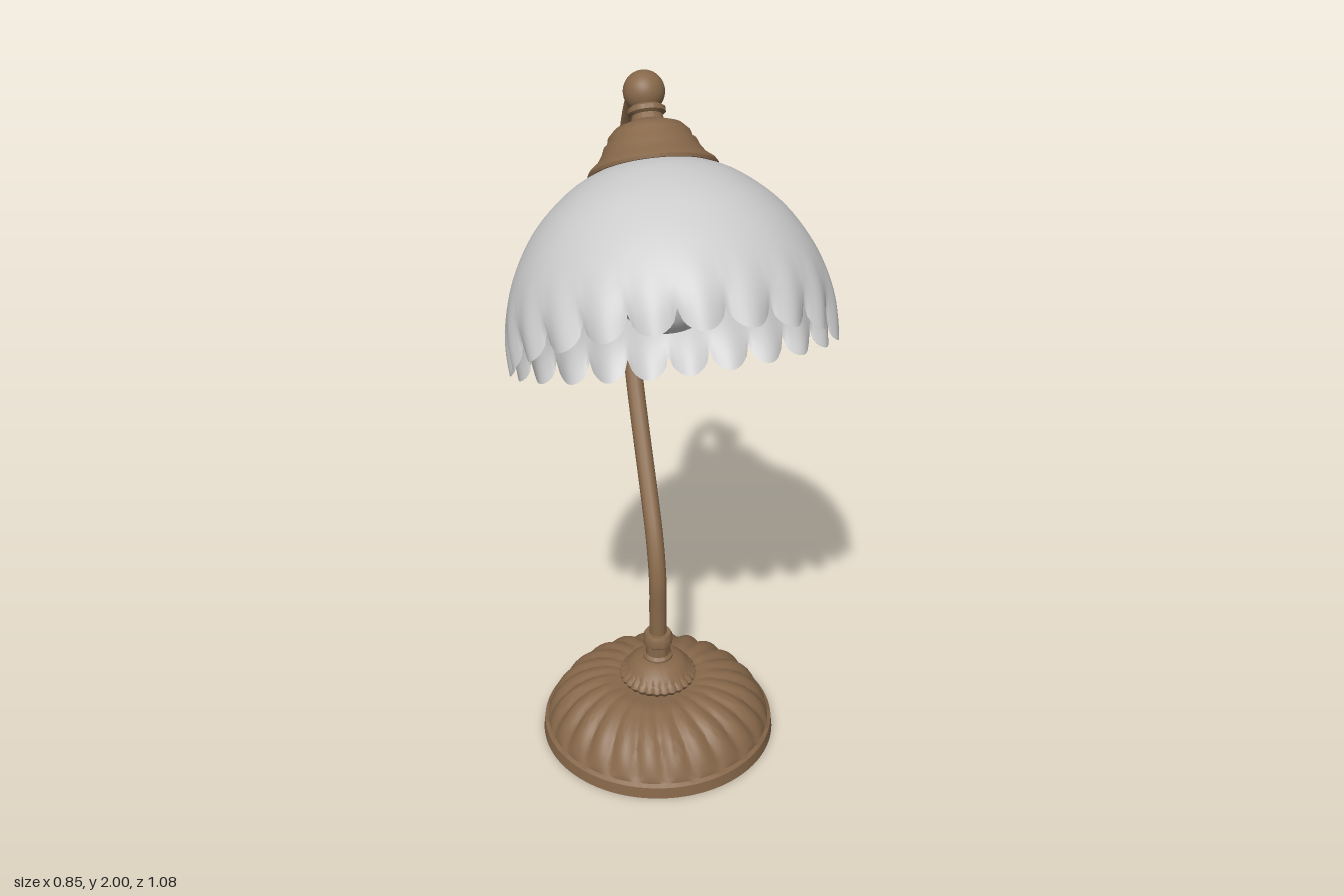
import * as THREE from 'three';
import { mergeVertices, toCreasedNormals } from 'three/addons/utils/BufferGeometryUtils.js';

const V = (x, y, z) => new THREE.Vector3(x, y, z);

// Revolve [radius, height] pairs; optional rule moves each vertex
function revolve(profile, segments, rule, crease = 0.7) {
  let geo = new THREE.LatheGeometry(profile.map(([r, y]) => new THREE.Vector2(r, y)), segments);
  geo.deleteAttribute('uv');
  geo.deleteAttribute('normal');
  geo = mergeVertices(geo, 1e-5);
  if (rule) {
    const p = geo.attributes.position;
    for (let i = 0; i < p.count; i++) {
      const x = p.getX(i), z = p.getZ(i);
      const [r, y] = rule(Math.hypot(x, z), p.getY(i), Math.atan2(x, z));
      const a = Math.atan2(x, z);
      p.setXYZ(i, r * Math.sin(a), y, r * Math.cos(a));
    }
  }
  geo.computeVertexNormals();
  return crease ? toCreasedNormals(geo, crease) : geo;
}

// Smooth profile through a few points
function smooth(points, n) {
  const c = new THREE.SplineCurve(points.map(([r, y]) => new THREE.Vector2(r, y)));
  return c.getPoints(n).map(p => [p.x, p.y]);
}

export function createModel() {
  const bronze = new THREE.MeshStandardMaterial({ color: 0x87684a });
  bronze.name = 'bronze';
  const glass = new THREE.MeshStandardMaterial({ color: 0xcccccc, side: THREE.DoubleSide });
  glass.name = 'frosted glass';

  const model = new THREE.Group();
  model.name = 'tableLamp';
  const add = (parent, name, geo, mat) => {
    const mesh = new THREE.Mesh(geo, mat);
    mesh.name = name;
    parent.add(mesh);
    return mesh;
  };

  // Tube in the x = 0 plane through [z, y] points
  const rod = (parent, name, pts, radius, segs) => add(parent, name, new THREE.TubeGeometry(
    new THREE.CatmullRomCurve3(pts.map(([z, y]) => V(0, y, z))), segs, radius, 12), bronze);

  // Foot: plain rim, swirled flutes, flat top
  const foot = new THREE.Group();
  foot.name = 'foot';
  foot.position.z = -0.025;
  model.add(foot);
  add(foot, 'flutedBase', revolve([
    [0, 0], [0.35, 0], [0.346, 0.035], [0.335, 0.042],
    ...smooth([[0.333, 0.05], [0.31, 0.092], [0.27, 0.135], [0.22, 0.163], [0.165, 0.178]], 12),
    [0.14, 0.178], [0.11, 0.172], [0, 0.172],
  ], 192, (r, y, a) => {
    if (y < 0.045 || r < 0.13) return [r, y];
    const k = Math.sin(Math.PI * Math.min(1, (y - 0.045) / 0.15)) ** 0.6;
    const d = k * 0.012 * (Math.abs(Math.cos(12 * (a + (0.33 - r) * 0.7))) - 0.7);
    return [r + d, y + d * 0.6];
  }), bronze);

  // Beaded collar and the stem socket
  add(foot, 'beadedCollar', revolve([
    [0, 0.17], [0.09, 0.172], [0.108, 0.182], [0.115, 0.195], [0.108, 0.207],
    [0.1, 0.212], [0.09, 0.23], [0.07, 0.247], [0.045, 0.255], [0, 0.257],
  ], 168, (r, y, a) => [r > 0.1 ? r + 0.006 * (Math.abs(Math.cos(14 * a)) - 0.7) : r, y]), bronze);
  add(foot, 'stemSocket', revolve([
    [0, 0.25], [0.044, 0.25], [0.044, 0.262], [0.036, 0.27], [0.036, 0.3],
    [0.043, 0.307], [0.044, 0.33], [0.038, 0.342], [0, 0.342],
  ], 32), bronze);

  // Curved stem rising behind the shade to the ball joint
  rod(model, 'stem', [
    [-0.025, 0.3], [-0.025, 0.42], [-0.028, 0.53], [-0.075, 0.645], [-0.16, 0.755], [-0.26, 0.87],
    [-0.355, 0.985], [-0.43, 1.1], [-0.485, 1.24], [-0.508, 1.42], [-0.487, 1.61],
    [-0.42, 1.78], [-0.33, 1.885], [-0.26, 1.925], [-0.205, 1.945],
  ], 0.026, 100);

  // Vine ornament: flower stalk, scroll and flower
  const vine = new THREE.Group();
  vine.name = 'vineOrnament';
  model.add(vine);
  rod(vine, 'flowerStalk', [[-0.405, 1.09], [-0.44, 1.22], [-0.455, 1.34], [-0.44, 1.45], [-0.4, 1.54]], 0.015, 32);
  rod(vine, 'scroll', [
    [-0.405, 1.09], [-0.425, 1.22], [-0.415, 1.34], [-0.385, 1.43], [-0.35, 1.468], [-0.315, 1.45],
    [-0.315, 1.4], [-0.345, 1.33], [-0.357, 1.26], [-0.343, 1.215],
  ], 0.014, 64);
  const scrollTip = add(vine, 'scrollTip', new THREE.SphereGeometry(0.019, 16, 12), bronze);
  scrollTip.position.set(0, 1.215, -0.343);
  for (let i = 0; i < 5; i++) {
    const a = Math.PI / 2 + i * Math.PI * 2 / 5;
    const petal = add(vine, 'petal', new THREE.SphereGeometry(0.026, 16, 12), bronze);
    petal.position.set(0, 1.558 + 0.03 * Math.sin(a), -0.393 + 0.03 * Math.cos(a));
    petal.scale.x = 0.8;
  }

  // Ball joint
  add(model, 'ballJoint', new THREE.SphereGeometry(0.055, 32, 24), bronze).position.set(0, 1.945, -0.205);

  // Tilted head, origin at the centre of the shade's rim
  const head = new THREE.Group();
  head.name = 'head';
  head.position.set(0, 1.38, 0.198);
  head.rotation.x = -0.616;
  model.add(head);

  // Scalloped glass shade
  const lobes = 22;
  add(head, 'shade', revolve(smooth([
    [0.417, 0], [0.423, 0.06], [0.421, 0.12], [0.407, 0.19], [0.38, 0.262],
    [0.335, 0.34], [0.28, 0.402], [0.21, 0.458], [0.13, 0.497],
  ], 30), lobes * 12, (r, y, a) => {
    const low = Math.max(0, 1 - y / 0.2);
    const notch = 1 - Math.sqrt(Math.abs(Math.cos(a * lobes / 2)));
    return [r + 0.007 * low * Math.cos(a * lobes), y - 0.008 + 0.062 * notch * low ** 1.5];
  }, 0), glass);

  // Stepped cap and neck
  add(head, 'shadeCap', revolve([
    [0, 0.478], [0.168, 0.474], [0.171, 0.482], [0.165, 0.492], [0.145, 0.508], [0.13, 0.53],
    [0.122, 0.55], [0.112, 0.558], [0.108, 0.575], [0.09, 0.594], [0.062, 0.605], [0.044, 0.612],
    [0.04, 0.628], [0.05, 0.634], [0.05, 0.646], [0.038, 0.654], [0, 0.66],
  ], 64), bronze);

  // Bulb with its neck
  add(head, 'bulb', revolve(smooth([
    [0, 0.056], [0.054, 0.067], [0.099, 0.097], [0.13, 0.142], [0.14, 0.196], [0.13, 0.248],
    [0.1, 0.3], [0.07, 0.35], [0.055, 0.4], [0.05, 0.485],
  ], 36), 48, null, 0), glass);

  return model;
}
